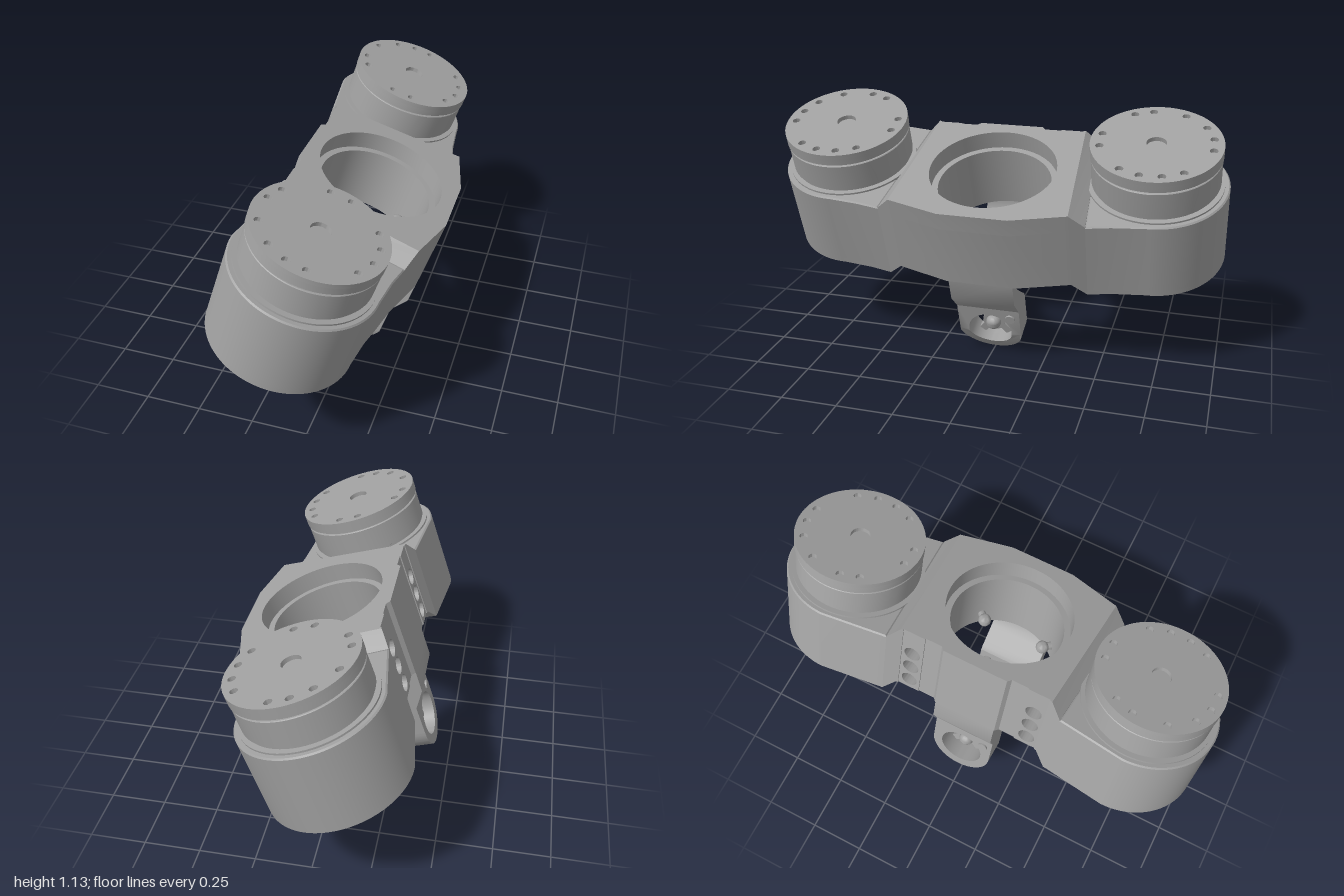
import * as THREE from 'three';
import { toCreasedNormals } from 'three/addons/utils/BufferGeometryUtils.js';

const TILT = -18.8 * Math.PI / 180;
const MOTOR = { x: -0.27, z: 0.69 };
const BORE_X = -0.186;

export function createModel() {
  const grey = new THREE.MeshStandardMaterial({ color: 0xa0a0a0 });
  const root = new THREE.Group();
  root.name = 'tiltedTwinMotorFrame';
  root.rotation.z = TILT;

  const add = (parent, name, geo, x = 0, y = 0, z = 0) => {
    const mesh = new THREE.Mesh(toCreasedNormals(geo, 0.6), grey);
    mesh.name = name;
    mesh.position.set(x, y, z);
    parent.add(mesh);
    return mesh;
  };
  const shapeOf = pts => new THREE.Shape(pts.map(p => new THREE.Vector2(p[0], p[1])));
  const punch = (shape, x, y, r) => shape.holes.push(new THREE.Path().absarc(x, y, r, 0, Math.PI * 2, true));
  const extrude = (shape, depth, curveSegments = 32) =>
    new THREE.ExtrudeGeometry(shape, { depth, bevelEnabled: false, curveSegments });
  // Plan outline (x, -z) raised from y0 to y1
  const raise = (shape, y0, y1, segs) => extrude(shape, y1 - y0, segs).rotateX(-Math.PI / 2).translate(0, y0, 0);
  // Side outline (-z, y) extruded along x
  const across = (shape, x0, x1) => extrude(shape, x1 - x0).rotateY(Math.PI / 2).translate(x0, 0, 0);
  const cyl = (r, h, segs = 48) => new THREE.CylinderGeometry(r, r, h, segs);
  const rodX = (r, x0, x1) => cyl(r, x1 - x0, 20).rotateZ(Math.PI / 2).translate((x0 + x1) / 2, 0, 0);

  // Central block with stepped bore; notches take the drilled panels
  const half = [[0.157, 0.15], [0.095, 0.385], [-0.522, 0.345], [-0.519, 0.335], [-0.46, 0.335],
    [-0.46, 0.235], [-0.51, 0.235], [-0.51, 0.16], [-0.527, 0.145]];
  const outline = [...half, ...half.map(([x, z]) => [x, -z]).reverse()];
  const block = (name, r, y0, y1) => {
    const s = shapeOf(outline);
    punch(s, BORE_X, 0, r);
    add(root, name, raise(s, y0, y1, 48));
  };
  block('centreBlockLower', 0.25, 0.5, 0.79);
  block('centreBlockUpper', 0.278, 0.79, 0.872);

  // One motor side, mirrored for the other
  for (const side of [1, -1]) {
    const g = new THREE.Group();
    g.name = side > 0 ? 'frontMotorSide' : 'rearMotorSide';
    g.scale.z = side;
    root.add(g);

    // Panel with three cross holes
    const panel = shapeOf([[-0.335, 0.5], [-0.235, 0.5], [-0.235, 0.872], [-0.335, 0.872]]);
    for (const y of [0.555, 0.645, 0.735]) punch(panel, -0.285, y, 0.037);
    add(g, 'drilledPanel', across(panel, -0.515, -0.46));

    // Sloped shoulder between block and lobe
    const shoulder = new THREE.BoxGeometry(1, 1, 1);
    const p = shoulder.attributes.position;
    for (let i = 0; i < p.count; i++) {
      const front = p.getX(i) > 0, top = p.getY(i) > 0, lobe = p.getZ(i) > 0;
      if (lobe) p.setXYZ(i, front ? 0.075 : -0.54, top ? 0.806 : 0.436, front ? 0.45 : 0.4);
      else p.setXYZ(i, front ? 0.095 : -0.522, top ? 0.872 : 0.5, front ? 0.385 : 0.345);
    }
    add(g, 'slopedShoulder', shoulder);

    // Rounded lobe with a recess underneath
    const lobeShape = () => {
      const s = new THREE.Shape();
      s.moveTo(-0.54, -0.4);
      s.lineTo(0.075, -0.45);
      s.lineTo(0.055, -0.55);
      s.lineTo(0.04, -MOTOR.z);
      s.absarc(MOTOR.x, -MOTOR.z, 0.31, 0, -Math.PI, true);
      return s;
    };
    add(g, 'lobe', raise(lobeShape(), 0.458, 0.798, 40));
    add(g, 'lobeTopEdge', new THREE.ExtrudeGeometry(lobeShape(), {
      depth: 0.002, bevelThickness: 0.006, bevelSize: 0.006, bevelOffset: -0.006, bevelSegments: 1, curveSegments: 40,
    }).rotateX(-Math.PI / 2), 0, 0.798, 0);
    const rim = lobeShape();
    punch(rim, MOTOR.x, -MOTOR.z, 0.255);
    add(g, 'lobeRim', raise(rim, 0.436, 0.458, 40));

    // Motor
    const motor = new THREE.Group();
    motor.name = 'motor';
    motor.position.set(MOTOR.x, 0, MOTOR.z);
    g.add(motor);
    add(motor, 'motorBody', new THREE.LatheGeometry([[0, 0.8], [0.288, 0.8], [0.288, 0.814], [0.264, 0.814],
      [0.264, 0.824], [0.272, 0.828], [0.272, 0.944], [0.269, 0.947], [0.262, 0.947], [0.262, 0.957],
      [0.275, 0.957], [0.275, 0.988], [0, 0.988]].map(q => new THREE.Vector2(...q)), 64));
    const cap = new THREE.Shape().absarc(0, 0, 0.275, 0, Math.PI * 2);
    punch(cap, 0, 0, 0.042);
    for (const deg of [100, 78, 32, 10, -12, -34, -83, -103, -125, -155, 170, 150]) {
      const a = deg * Math.PI / 180;
      punch(cap, 0.235 * Math.cos(a), 0.235 * Math.sin(a), 0.017);
    }
    add(motor, 'motorCap', raise(cap, 0.987, 1.007, 32));

    // Underside fittings
    add(motor, 'undersideHub', new THREE.TorusGeometry(0.04, 0.012, 8, 24).rotateX(Math.PI / 2), 0, 0.456, 0);
    for (let i = 0; i < 4; i++) {
      const a = Math.PI / 4 + i * Math.PI / 2, x = 0.235 * Math.cos(a), z = 0.235 * Math.sin(a);
      add(motor, 'undersideScrew', new THREE.SphereGeometry(0.03, 16, 10), x, 0.436, z);
    }
    add(motor, 'connector', new THREE.BoxGeometry(0.09, 0.05, 0.05), 0, 0.437, 0.17);

    // Screw reaching into the bore
    const screw = new THREE.Group();
    screw.name = 'boreScrew';
    screw.position.set(-0.02, 0.56, 0.17);
    screw.rotation.y = -Math.PI / 4;
    g.add(screw);
    add(screw, 'screwShank', rodX(0.018, -0.05, 0.05));
    add(screw, 'screwHead', new THREE.SphereGeometry(0.03, 16, 10), -0.03);
  }

  // Legs with ring ends, facing each other across the bore
  const makeLeg = (name, chamfered) => {
    const leg = new THREE.Group();
    leg.name = name;
    root.add(leg);
    const arm = shapeOf([[0.157, 0.51], [0.156, 0.396], [0.104, 0.306], [-0.013, 0.306], [-0.004, 0.325],
      [0.026, 0.357], [0.072, 0.41], [0.105, 0.453], [0.111, 0.51]]);
    add(leg, 'legArm', extrude(arm, 0.286).translate(0, 0, -0.143));

    const pad = new THREE.Shape();
    pad.moveTo(0.143, 0.306);
    pad.lineTo(-0.143, 0.306);
    pad.absarc(0, 0.165, 0.143, Math.PI, Math.PI * 2, false);
    punch(pad, 0, 0.168, 0.1);
    const padGeo = across(pad, -0.013, 0.104);
    if (chamfered) {
      const q = padGeo.attributes.position;
      for (let i = 0; i < q.count; i++) {
        if (q.getX(i) > 0.05 && q.getY(i) < 0.151) q.setX(i, 0.104 - (0.151 - q.getY(i)) * 0.38);
      }
    }
    add(leg, 'legRing', padGeo);

    // Hub, spokes and pin inside the ring
    for (const a of [0.7, -0.7]) {
      add(leg, 'spoke', new THREE.BoxGeometry(0.03, 0.21, 0.035).rotateX(a), 0.01, 0.168, 0);
    }
    add(leg, 'hub', rodX(0.052, -0.034, 0.04), 0, 0.168, 0);
    add(leg, 'hubScrew', new THREE.SphereGeometry(0.035, 20, 12), 0.045, 0.168, 0);
    add(leg, 'sidePin', rodX(0.022, -0.042, 0.112), 0, 0.257, -0.1);
    return leg;
  };
  makeLeg('rightHandLeg', true);
  const opposite = makeLeg('oppositeLeg', false);
  opposite.position.x = -0.37;
  opposite.rotation.y = Math.PI;

  const model = new THREE.Group();
  model.name = 'model';
  model.add(root);
  return model;
}
